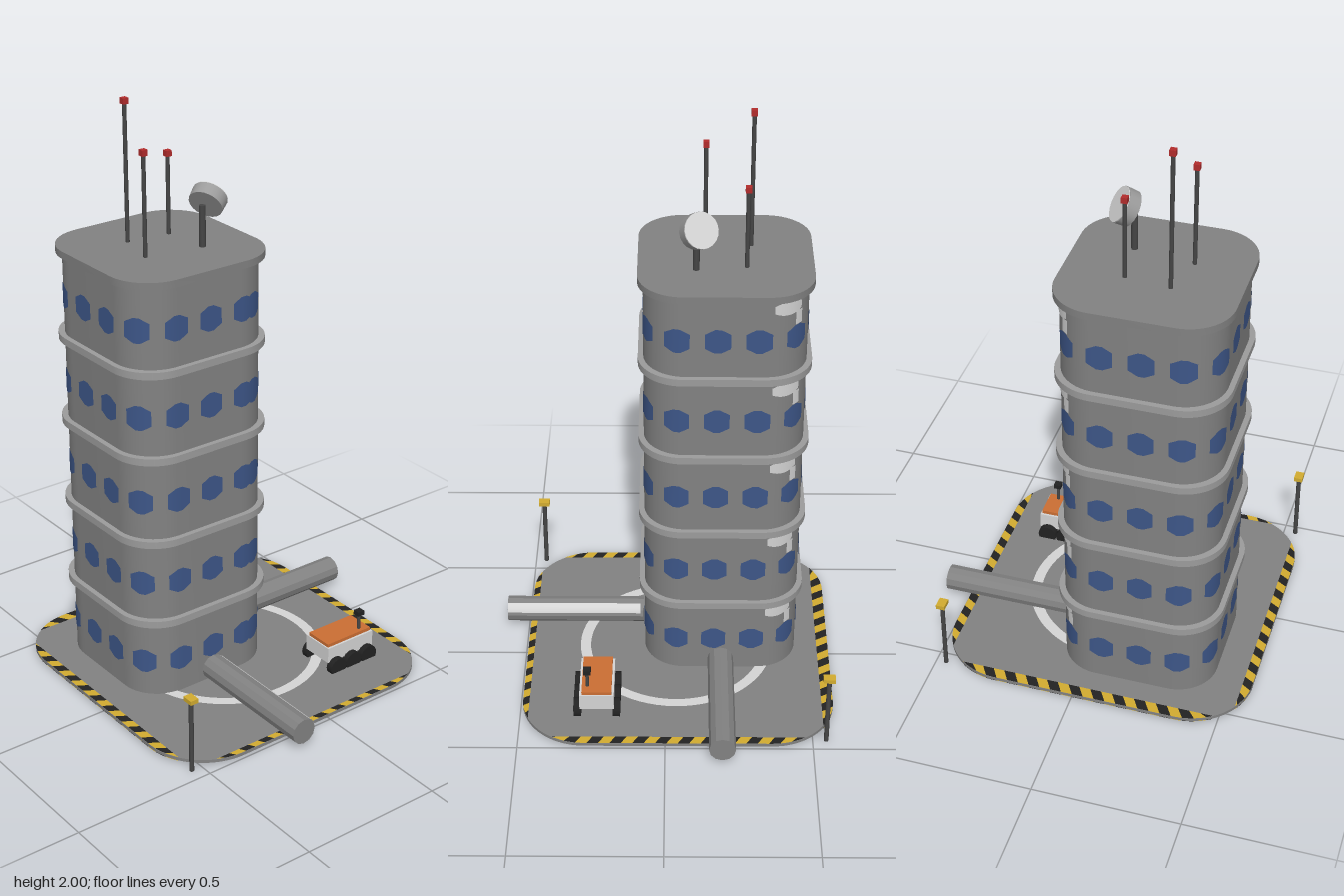
import * as THREE from 'three';
import { toCreasedNormals } from 'three/addons/utils/BufferGeometryUtils.js';

const mat = (name, color, side = THREE.FrontSide) => {
  const m = new THREE.MeshStandardMaterial({ color, side });
  m.name = name;
  return m;
};

export function createModel() {
  const M = {
    concrete: mat('concrete grey', 0x828282),
    metal: mat('dark metal', 0x464646),
    steel: mat('light steel', 0x9c9c9c),
    glass: mat('window blue', 0x3d5688, THREE.DoubleSide),
    yellow: mat('warning yellow', 0xd2ac30, THREE.DoubleSide),
    black: mat('black', 0x222222, THREE.DoubleSide),
    pale: mat('pale grey', 0xd4d4d4, THREE.DoubleSide),
    orange: mat('rover orange', 0xcb6e33),
    red: mat('beacon red', 0xb22c2c),
  };
  const root = new THREE.Group();
  root.name = 'towerBase';

  const add = (name, geo, material, x = 0, y = 0, z = 0, parent = root) => {
    const mesh = new THREE.Mesh(geo, material);
    mesh.name = name;
    mesh.position.set(x, y, z);
    parent.add(mesh);
    return mesh;
  };
  const group = (name, x, z) => {
    const g = new THREE.Group();
    g.name = name;
    g.position.set(x, 0, z);
    root.add(g);
    return g;
  };
  const box = (w, h, d) => new THREE.BoxGeometry(w, h, d);
  const pole = (r, h) => new THREE.CylinderGeometry(r, r, h, 8);

  // Upright slab with a rounded-square plan, standing on its own y = 0
  const roundedSlab = (half, r, height) => {
    const s = new THREE.Shape(), c = half - r;
    s.absarc(c, c, r, 0, Math.PI / 2);
    s.absarc(-c, c, r, Math.PI / 2, Math.PI);
    s.absarc(-c, -c, r, Math.PI, Math.PI * 1.5);
    s.absarc(c, -c, r, Math.PI * 1.5, Math.PI * 2);
    s.closePath();
    const g = new THREE.ExtrudeGeometry(s, { depth: height, bevelEnabled: false, curveSegments: 8 });
    g.rotateX(-Math.PI / 2);
    return toCreasedNormals(g, 0.6);
  };
  // Strip joining two equally long rows of points
  const strip = (rows) => {
    const pos = [], idx = [];
    rows.forEach(([a, b], i) => {
      pos.push(...a, ...b);
      const k = i * 2;
      if (i) idx.push(k - 2, k - 1, k, k, k - 1, k + 1);
    });
    const g = new THREE.BufferGeometry();
    g.setAttribute('position', new THREE.Float32BufferAttribute(pos, 3));
    g.setIndex(idx);
    g.computeVertexNormals();
    return g;
  };

  // Landing platform
  const H = 0.536, R = 0.22, TOP = 0.018, BOTTOM = 0.007;
  const pad = group('platform', -0.043, 0.041);
  add('platformSlab', roundedSlab(H, R, TOP - BOTTOM), M.concrete, 0, BOTTOM, 0, pad);
  const ring = new THREE.RingGeometry(0.306, 0.343, 64).rotateX(-Math.PI / 2);
  add('landingRing', ring, M.pale, 0.007, TOP + 0.0015, -0.005, pad);
  for (const mid of [Math.PI / 4, Math.PI * 1.25]) {
    const arc = new THREE.RingGeometry(0.306, 0.343, 32, 1, mid - 1, 2).rotateX(Math.PI / 2);
    add('undersideRing', arc, M.pale, 0.007, BOTTOM - 0.0015, -0.005, pad);
  }

  // Diagonal hazard stripes, cut off by the rounded corners
  const hazardEdge = (name, width, y, place, lean) => {
    const flat = H - R, limit = flat + Math.sqrt(R * R - (R - width) ** 2);
    const clamp = (t) => Math.max(-limit, Math.min(limit, t));
    const depth = (t) => Math.abs(t) < flat ? 0 : R - Math.sqrt(R * R - (Math.abs(t) - flat) ** 2);
    const step = 0.0385, n = Math.ceil(limit / step) + 1;
    for (let i = -n; i < n; i++) {
      const rows = [];
      for (let j = 0; j <= 3; j++) {
        const t = (i + j / 3) * step, o = clamp(t), inner = clamp(t + lean * width);
        const [ox, oz] = place(o, depth(o)), [ix, iz] = place(inner, width);
        rows.push([[ox, y, oz], [ix, y, iz]]);
      }
      add(name, strip(rows), i & 1 ? M.black : M.yellow, 0, 0, 0, pad);
    }
  };
  const edges = {
    back: [0.032, (t, d) => [t, d - H], -0.6],
    front: [0.033, (t, d) => [t, H - d], 0.6],
    right: [0.04, (t, d) => [d - H, t], -0.6],
    left: [0.022, (t, d) => [H - d, t], 0.6],
  };
  for (const [side, [w, place, lean]] of Object.entries(edges)) {
    hazardEdge(side + 'HazardStripe', w, TOP + 0.0015, place, lean);
    if (side === 'front' || side === 'right')
      hazardEdge(side + 'UndersideStripe', w, BOTTOM - 0.0015, place, lean);
  }

  // Tower body, floor ledges and roof cap
  const TX = -0.192, TZ = 0.175, half = 0.267, r = 0.14;
  const tower = group('tower', TX, TZ);
  add('towerBody', roundedSlab(half, r, 1.49), M.concrete, 0, 0.012, 0, tower);
  for (let f = 1; f <= 5; f++) {
    const [name, material] = f < 5 ? ['floorLedge', M.steel] : ['roofCap', M.concrete];
    add(name, roundedSlab(0.285, 0.15, 0.025), material, 0, f * 0.3015 - 0.012, 0, tower);
  }

  // Point on the wall at distance s round the perimeter
  const L = 2 * (half - r), A = r * Math.PI / 2;
  const wallPoint = (s, y) => {
    const per = 4 * (L + A);
    s = ((s % per) + per) % per;
    const q = Math.floor(s / (L + A)), rest = s - q * (L + A);
    const a = Math.min(rest, A) / r, rr = r + 0.002;
    let x = L / 2 + rr * Math.sin(a), z = L / 2 + rr * Math.cos(a) - Math.max(0, rest - A);
    for (let i = 0; i < q; i++) [x, z] = [z, -x];
    return [x, y, z];
  };
  // Thin plate following the wall; height(u) is its half height for u from -1 to 1
  const wallPlate = (name, material, s, y, halfWidth, height) => {
    const rows = [];
    for (let i = 0; i <= 8; i++) {
      const u = i / 4 - 1, h = height(u), p = s + u * halfWidth;
      rows.push([wallPoint(p, y + h), wallPoint(p, y - h)]);
    }
    add(name, strip(rows), material, 0, 0, 0, tower);
  };

  // Windows spaced round every floor, and worn pale patches on the back right corner
  const windowHeight = (u) => 0.043 - 0.017 * Math.max(0, Math.abs(u) - 0.25) / 0.75;
  const corner = 2 * (L + A) + A / 2;
  for (let f = 0; f < 5; f++) {
    const y = 0.147 + f * 0.301;
    for (let k = -10; k <= 4; k++)
      wallPlate('window', M.glass, -0.045 + k * 0.132, y, 0.042, windowHeight);
    wallPlate('wornPatch', M.pale, corner - 0.035, y + 0.113, 0.05, (u) => 0.025 - 0.012 * u * u);
    wallPlate('wornPatch', M.pale, corner + 0.005, y + 0.07, 0.014, () => 0.025);
  }

  // Roof antennas with red beacons
  for (const [x, z, top] of [[-0.259, 0.092, 1.805], [-0.277, 0.242, 2], [-0.127, 0.277, 1.875]]) {
    const h = top - 0.02 - 1.51;
    add('antennaPole', pole(0.007, h), M.metal, x, 1.51 + h / 2, z);
    add('antennaBeacon', box(0.02, 0.02, 0.02), M.red, x, top - 0.01, z);
  }

  // Dish on its mast
  add('dishMast', pole(0.011, 0.15), M.metal, -0.096, 1.585, 0.075);
  const dish = group('dish', -0.102, 0.048);
  dish.position.y = 1.671;
  dish.quaternion.setFromUnitVectors(new THREE.Vector3(0, 1, 0),
    new THREE.Vector3(-0.41, 0.5, -0.76).normalize());
  add('dishBody', new THREE.CylinderGeometry(0.06, 0.058, 0.042, 20), M.steel, 0, 0, 0, dish);
  add('dishFace', new THREE.CylinderGeometry(0.059, 0.059, 0.004, 20), M.pale, 0, 0.022, 0, dish);

  // Access tubes, the side one with a pale strip along its upper back
  const tube = (len) => toCreasedNormals(new THREE.CylinderGeometry(0.045, 0.045, len, 12), 0.3);
  add('sideTube', tube(0.493), M.concrete, 0.3285, 0.065, TZ).rotation.z = Math.PI / 2;
  add('backTube', tube(0.477), M.concrete, TX, 0.065, -0.3385).rotation.x = Math.PI / 2;
  const paleStrip = new THREE.CylinderGeometry(0.0465, 0.0465, 0.48, 6, 1, true, 2.06, 0.79);
  add('tubeStrip', paleStrip, M.pale, 0.334, 0.065, TZ).rotation.z = Math.PI / 2;

  // Corner lamp posts
  for (const [x, z] of [[-0.545, -0.463], [0.46, 0.543]]) {
    add('lampPost', pole(0.008, 0.262), M.metal, x, 0.139, z);
    add('lampHead', box(0.04, 0.015, 0.03), M.yellow, x, 0.277, z);
  }

  // Six-wheeled rover
  const rover = group('rover', 0.235, -0.261);
  add('roverBody', box(0.118, 0.057, 0.2), M.pale, 0, 0.0815, 0, rover);
  add('roverDeck', box(0.102, 0.012, 0.19), M.orange, 0, 0.116, 0, rover);
  add('cameraMast', pole(0.006, 0.06), M.metal, 0.032, 0.15, -0.059, rover);
  add('cameraHead', box(0.026, 0.016, 0.026), M.black, 0.032, 0.186, -0.059, rover);
  for (const side of [-1, 1]) {
    for (const z of [-0.068, 0, 0.068]) {
      const wheel = new THREE.CylinderGeometry(0.034, 0.034, 0.026, 14);
      add('wheel', wheel, M.black, side * 0.067, 0.034, z, rover).rotation.z = Math.PI / 2;
    }
  }
  return root;
}
